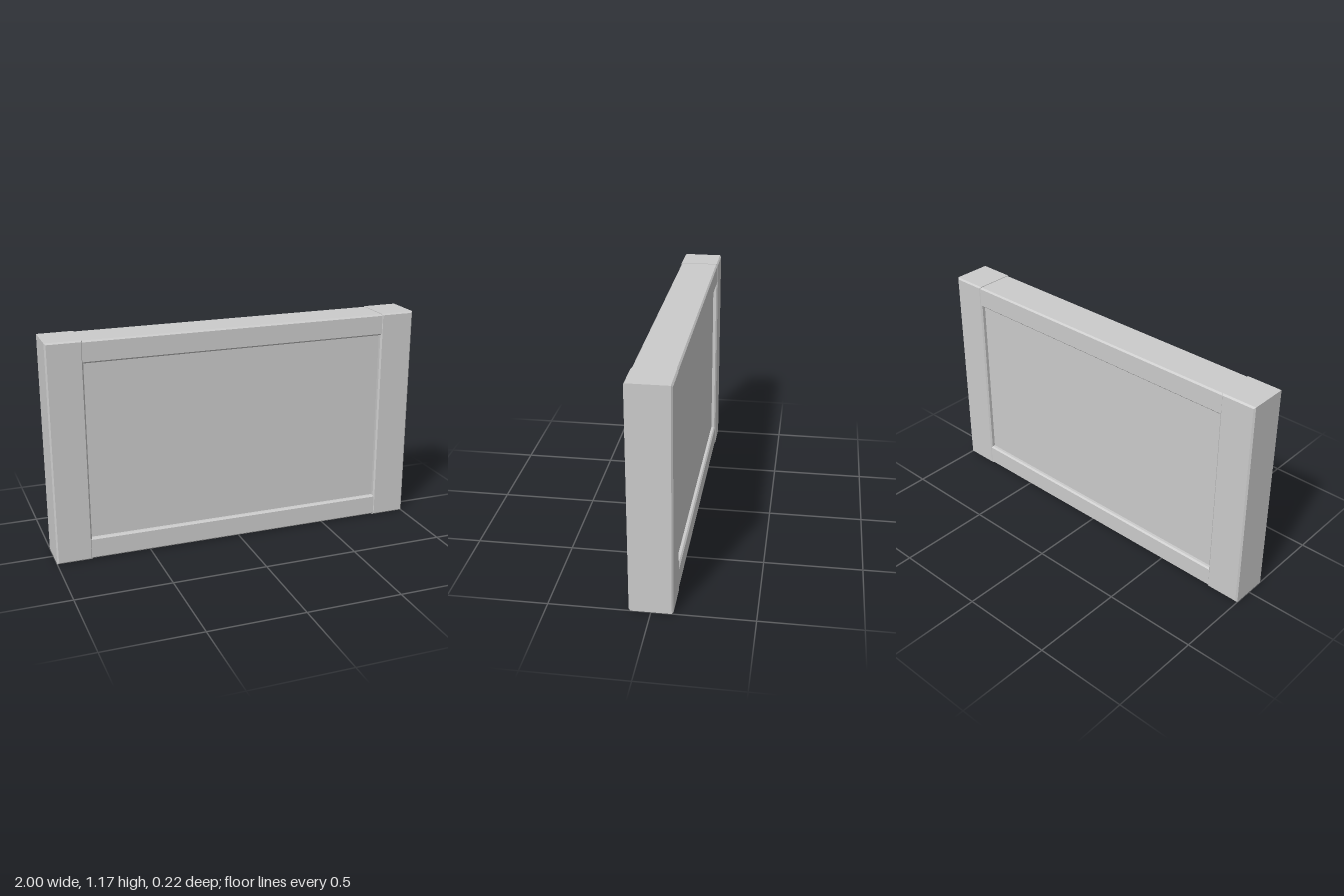
import * as THREE from 'three';

const WIDTH = 2, HEIGHT = 1.17, DEPTH = 0.216, BEVEL = 0.008;
const STILE = 0.187; // width of the upright members
const RAIL = 0.115;  // height of the cross members
const STEP = 0.003;  // rails sit slightly inside the stiles

const material = new THREE.MeshStandardMaterial({ color: 0xcccccc, flatShading: true });

// Board centred on x, y with chamfered front and back edges
function board(name, w, h, d, x, y) {
  const a = w / 2 - BEVEL, b = h / 2 - BEVEL;
  const shape = new THREE.Shape([
    new THREE.Vector2(-a, -b), new THREE.Vector2(a, -b),
    new THREE.Vector2(a, b), new THREE.Vector2(-a, b),
  ]);
  const core = d - 2 * BEVEL;
  const geometry = new THREE.ExtrudeGeometry(shape, {
    depth: core, bevelEnabled: true, bevelSize: BEVEL, bevelThickness: BEVEL, bevelSegments: 1,
  });
  geometry.translate(0, 0, -core / 2);
  const mesh = new THREE.Mesh(geometry, material);
  mesh.name = name;
  mesh.position.set(x, y, 0);
  return mesh;
}

export function createModel() {
  const group = new THREE.Group();
  group.name = 'framedPanel';

  // Upright members at both ends
  for (const [name, side] of [['leftStile', 1], ['rightStile', -1]]) {
    group.add(board(name, STILE, HEIGHT, DEPTH, side * (WIDTH - STILE) / 2, HEIGHT / 2));
  }

  // Cross members, tenoned into the stiles
  const railLength = WIDTH - 2 * STILE + 0.06;
  for (const [name, side] of [['topRail', 1], ['bottomRail', -1]]) {
    const y = HEIGHT / 2 + side * ((HEIGHT - RAIL) / 2 - STEP);
    group.add(board(name, railLength, RAIL, DEPTH - 2 * STEP, 0, y));
  }

  // Recessed infill, the same on front and back
  const panel = new THREE.Mesh(
    new THREE.BoxGeometry(WIDTH - 2 * STILE + 0.04, HEIGHT - 2 * RAIL + 0.04, DEPTH - 0.05),
    material,
  );
  panel.name = 'panel';
  panel.position.y = HEIGHT / 2;
  group.add(panel);

  return group;
}
